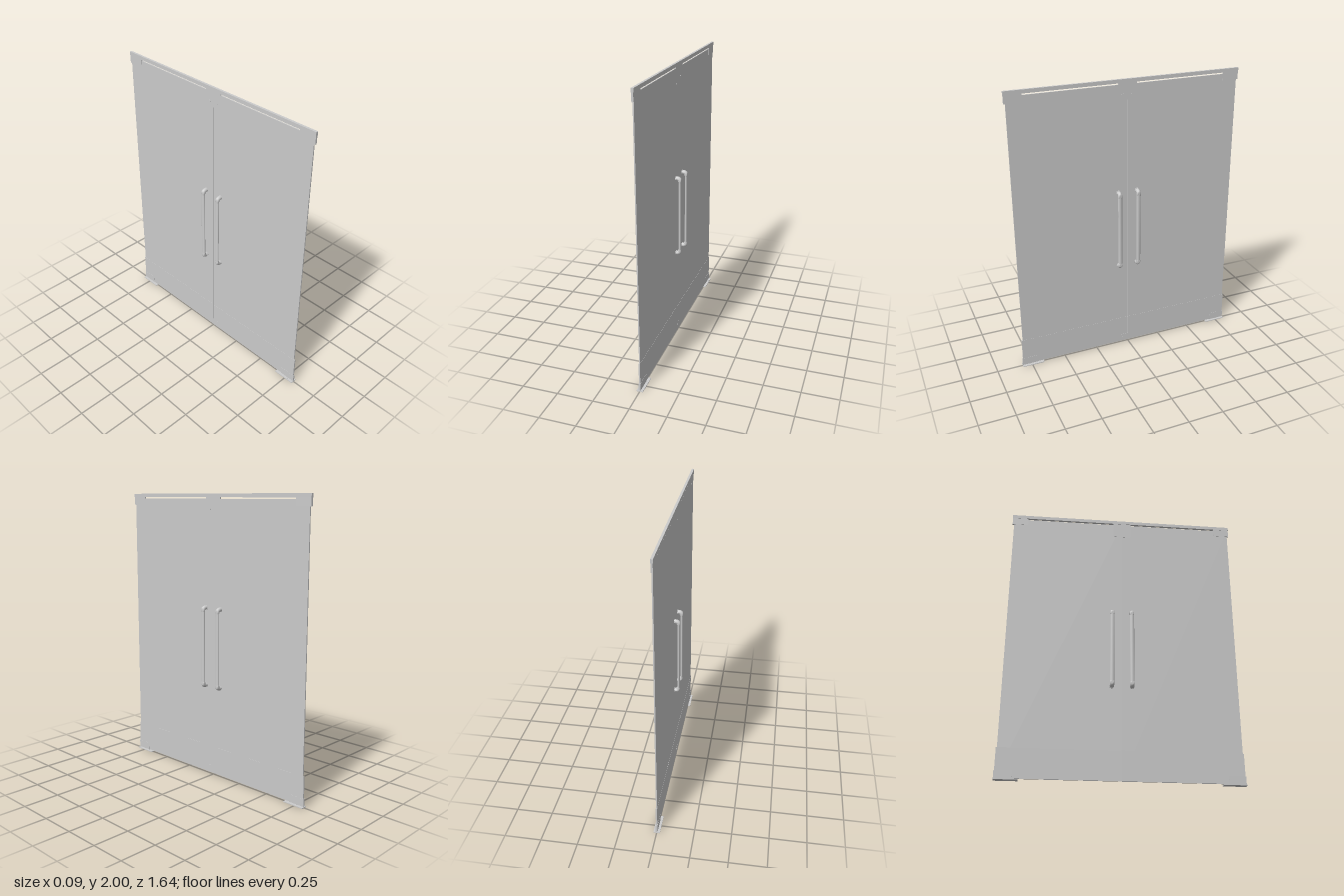
import * as THREE from 'three';

const grey = new THREE.MeshStandardMaterial({ color: 0xcccccc });

export function createModel() {
  const model = new THREE.Group();

  // Box given by its limits on each axis
  function box(parent, name, x, y, z) {
    const mesh = new THREE.Mesh(new THREE.BoxGeometry(x[1] - x[0], y[1] - y[0], z[1] - z[0]), grey);
    mesh.position.set((x[0] + x[1]) / 2, (y[0] + y[1]) / 2, (z[0] + z[1]) / 2);
    mesh.name = name;
    parent.add(mesh);
    return mesh;
  }

  // Short cylinder lying along x, or standing along y
  function disc(parent, name, radius, length, position, upright = false) {
    const geometry = new THREE.CylinderGeometry(radius, radius, length, 20);
    if (!upright) geometry.rotateZ(Math.PI / 2);
    const mesh = new THREE.Mesh(geometry, grey);
    mesh.position.set(...position);
    mesh.name = name;
    parent.add(mesh);
  }

  // Header rail across both leaves
  box(model, 'headerRail', [-0.008, 0.008], [1.975, 2], [-0.818, 0.818]);

  // Handle path: out from the glass, rounded corner, straight grip, and back
  function handleGeometry() {
    const reach = 0.034, bend = 0.022, top = 1.219, bottom = 0.661;
    const v = (x, y) => new THREE.Vector3(x, y, 0);
    const path = new THREE.CurvePath();
    path.add(new THREE.LineCurve3(v(0.002, bottom), v(reach - bend, bottom)));
    path.add(new THREE.QuadraticBezierCurve3(v(reach - bend, bottom), v(reach, bottom), v(reach, bottom + bend)));
    path.add(new THREE.LineCurve3(v(reach, bottom + bend), v(reach, top - bend)));
    path.add(new THREE.QuadraticBezierCurve3(v(reach, top - bend), v(reach, top), v(reach - bend, top)));
    path.add(new THREE.LineCurve3(v(reach - bend, top), v(0.002, top)));
    const geometry = new THREE.TubeGeometry(path, 160, 0.015, 16);
    // The grip is oval: shallow in x, wide in z
    const p = geometry.attributes.position;
    for (let i = 0; i < p.count; i++) {
      const y = p.getY(i);
      if (y > bottom + bend && y < top - bend) p.setX(i, reach + (p.getX(i) - reach) * 0.6);
      else p.setX(i, Math.min(p.getX(i), reach + 0.009));
    }
    geometry.computeVertexNormals();
    return geometry;
  }
  const grip = handleGeometry();

  for (const s of [1, -1]) {
    const leaf = new THREE.Group();
    leaf.name = s > 0 ? 'frontLeaf' : 'backLeaf';
    model.add(leaf);
    const span = (a, b) => (s > 0 ? [a, b] : [-b, -a]);

    box(leaf, 'glassPanel', [-0.004, 0.004], [0.01, 1.965], span(0.0008, 0.806));
    box(leaf, 'kickPlate', [-0.005, 0.005], [0.01, 0.212], span(0.0008, 0.813));

    // Corner pivots and the meeting-edge locks
    box(leaf, 'topPivotPatch', [-0.0062, 0.0062], [1.92, 1.975], span(0.702, 0.817));
    box(leaf, 'bottomPivotPatch', [-0.0062, 0.0062], [0.008, 0.062], span(0.702, 0.817));
    box(leaf, 'topLockPatch', [-0.0055, 0.0055], [1.862, 1.975], span(0.0008, 0.065));
    if (s > 0) {
      box(leaf, 'bottomLockPatch', [-0.0058, 0.0058], [0.01, 0.066], span(0.0008, 0.065));
      disc(leaf, 'bottomLockCylinder', 0.009, 0.014, [0, 0.042, 0.034]);
    }
    disc(leaf, 'topLockCylinder', 0.01, 0.014, [0, 1.895, s * 0.034]);

    // Floor pivot cover with screws
    box(leaf, 'floorPlate', [-0.022, 0.022], [0, 0.005], span(0.662, 0.818));
    disc(leaf, 'floorPivot', 0.006, 0.008, [0, 0.006, s * 0.76], true);
    for (const x of [-0.016, 0.016])
      for (const z of [0.71, 0.77])
        disc(leaf, 'plateScrew', 0.0025, 0.001, [x, 0.005, s * z], true);

    // Pull handles on both faces, with collars against the glass
    for (const side of [1, -1]) {
      const handle = new THREE.Mesh(grip, grey);
      handle.name = 'pullHandle';
      handle.position.z = s * 0.069;
      handle.rotation.y = side > 0 ? 0 : Math.PI;
      leaf.add(handle);
      for (const y of [0.661, 1.219])
        disc(leaf, 'handleCollar', 0.017, 0.004, [side * 0.006, y, s * 0.069]);
    }
  }
  return model;
}
